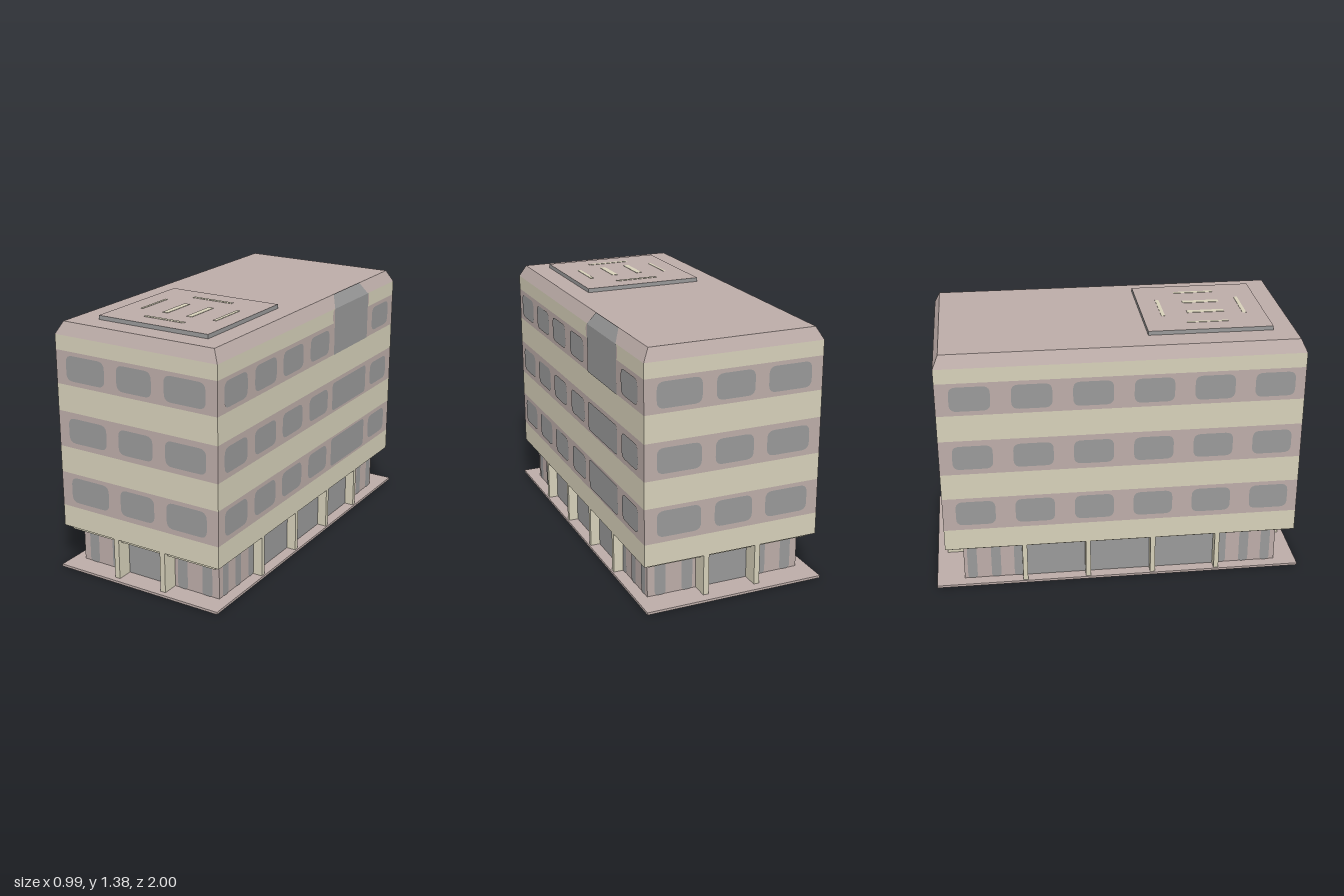
import * as THREE from 'three';

const mat = (name, color) => {
  const m = new THREE.MeshStandardMaterial({ color });
  m.name = name;
  return m;
};

export function createModel() {
  const mauve = mat('mauve', 0xbcaca8);
  const cream = mat('cream', 0xd6d0b9);
  const grey = mat('grey', 0x999999);
  const root = new THREE.Group();
  root.name = 'officeBuilding';

  // Outline of the upper storeys
  const X = 0.485, ZF = 0.97, ZB = -0.945, EPS = 0.003;

  const add = (name, geo, material) => {
    const m = new THREE.Mesh(geo, material);
    m.name = name;
    root.add(m);
    return m;
  };
  // Box given by its limits on each axis
  const box = (name, material, x0, x1, y0, y1, z0, z1) => {
    const m = add(name, new THREE.BoxGeometry(x1 - x0, y1 - y0, z1 - z0), material);
    m.position.set((x0 + x1) / 2, (y0 + y1) / 2, (z0 + z1) / 2);
    return m;
  };
  const roundedRect = (w, h, r) => {
    const s = new THREE.Shape(), a = w / 2, b = h / 2;
    s.moveTo(-a + r, -b);
    s.lineTo(a - r, -b); s.quadraticCurveTo(a, -b, a, -b + r);
    s.lineTo(a, b - r); s.quadraticCurveTo(a, b, a - r, b);
    s.lineTo(-a + r, b); s.quadraticCurveTo(-a, b, -a, b - r);
    s.lineTo(-a, -b + r); s.quadraticCurveTo(-a, -b, -a + r, -b);
    return new THREE.ShapeGeometry(s, 5);
  };
  // Thin plate on a wall; u is x on the front and back, z on the sides
  const plate = (name, material, side, wall, u0, u1, y0, y1, r = 0.04) => {
    const m = add(name, roundedRect(Math.abs(u1 - u0), y1 - y0, r), material);
    const u = (u0 + u1) / 2, y = (y0 + y1) / 2;
    if (side === 'front') m.position.set(u, y, wall + EPS);
    if (side === 'back') { m.position.set(u, y, wall - EPS); m.rotation.y = Math.PI; }
    if (side === 'left') { m.position.set(wall + EPS, y, u); m.rotation.y = Math.PI / 2; }
    if (side === 'right') { m.position.set(wall - EPS, y, u); m.rotation.y = -Math.PI / 2; }
    return m;
  };

  // Ground slab with a grey underside
  const slab = box('groundSlab', mauve, -0.493, 0.493, 0, 0.013, -1, 1);
  slab.material = [mauve, mauve, mauve, grey, mauve, mauve];

  // Alternating storey bands
  const levels = [0.235, 0.355, 0.545, 0.69, 0.885, 1.03, 1.21, 1.29];
  for (let i = 0; i < levels.length - 1; i++) {
    box(i % 2 ? 'windowBand' : 'plainBand', i % 2 ? mauve : cream, -X, X, levels[i], levels[i + 1], ZB, ZF);
  }

  // Roof with sloped edges
  const roof = box('roof', mauve, -X, X, 1.29, 1.355, ZB, ZF);
  const p = roof.geometry.attributes.position;
  for (let i = 0; i < p.count; i++) {
    if (p.getY(i) > 0) {
      p.setX(i, p.getX(i) - Math.sign(p.getX(i)) * 0.035);
      p.setZ(i, p.getZ(i) - Math.sign(p.getZ(i)) * 0.03);
    }
  }
  roof.geometry.computeVertexNormals();

  // Windows of the three upper floors
  const floors = [[0.385, 0.525], [0.72, 0.855], [1.055, 1.19]];
  floors.forEach(([y0, y1], f) => {
    for (const [a, b] of [[-0.42, -0.18], [-0.105, 0.105], [0.18, 0.42]]) {
      plate('frontWindow', grey, 'front', ZF, a, b, y0, y1);
      plate('backWindow', grey, 'back', ZB, a, b, y0, y1);
    }
    for (const z of [0.81, 0.53, 0.252, -0.035, -0.77]) {
      plate('leftWindow', grey, 'left', X, z - 0.105, z + 0.105, y0, y1);
    }
    if (f < 2) plate('wideWindow', grey, 'left', X, -0.605, -0.195, y0 - 0.015, y1 + 0.01, 0.025);
    for (let i = 0; i < 6; i++) {
      const z = 0.81 - i * 0.316;
      plate('rightWindow', grey, 'right', -X, z - 0.105, z + 0.105, y0, y1);
    }
  });

  // Tall glass panel that folds over the roof edge
  plate('panelSurround', mauve, 'left', X - 0.001, -0.62, -0.18, 1.21, 1.29, 0.03);
  plate('tallGlass', grey, 'left', X, -0.605, -0.2, 1.03, 1.29, 0.001);
  const fold = new THREE.BufferGeometry();
  fold.setAttribute('position', new THREE.Float32BufferAttribute([
    X + EPS, 1.29, -0.2, X + EPS, 1.29, -0.6,
    X - 0.032, 1.357, -0.555, X - 0.032, 1.357, -0.245], 3));
  fold.setIndex([0, 1, 2, 0, 2, 3]);
  fold.computeVertexNormals();
  add('slopedGlass', fold, grey);

  // Recessed ground floor and the ledge above it
  const GX = 0.43, GF = 0.88, GB = -0.85, Y0 = 0.013, Y1 = 0.212;
  box('groundFloor', mauve, -GX, GX, Y0, Y1, GB, GF);
  box('ledge', cream, -0.45, 0.45, Y1, 0.235, -0.91, 0.945);

  // Ground floor glazing: large panes and narrow strips
  const glass = (side, wall, list) => list.forEach(([a, b, r]) =>
    plate('groundGlass', grey, side, wall, a, b, Y0, Y1 - 0.002, r));
  const endPanes = [[-0.13, 0.13, 0.001]];
  for (const x of [-0.36, -0.21, 0.21, 0.36]) endPanes.push([x - 0.03, x + 0.03, 0.02]);
  glass('front', GF, endPanes);
  glass('back', GB, endPanes);
  const sidePanes = [[-0.505, 0.53, 0.001]];
  for (const z of [0.825, 0.703, 0.575, -0.55, -0.675, -0.805]) sidePanes.push([z - 0.026, z + 0.026, 0.02]);
  glass('left', GX, sidePanes);
  glass('right', -GX, sidePanes);

  // Fin columns around the ground floor
  for (const x of [-0.145, 0.145]) {
    box('frontColumn', cream, x - 0.015, x + 0.015, Y0, 0.235, GF, ZF);
    box('backColumn', cream, x - 0.015, x + 0.015, Y0, 0.235, ZB, GB);
  }
  for (const z of [0.54, 0.183, -0.173, -0.518]) {
    box('leftColumn', cream, GX, X, Y0, 0.235, z - 0.013, z + 0.013);
    box('rightColumn', cream, -X, -GX, Y0, 0.235, z - 0.013, z + 0.013);
  }

  // Landing pad: mauve top on grey sides, with painted bars
  const pad = box('landingPad', grey, -0.315, 0.34, 1.355, 1.377, 0.165, 0.825);
  pad.material = [grey, grey, mauve, grey, grey, grey];
  const marks = [
    [-0.11, 0.13, 0.265, 0.285], [-0.11, 0.13, 0.705, 0.725],
    [-0.217, -0.203, 0.385, 0.605], [0.225, 0.245, 0.385, 0.605],
    [-0.077, -0.045, 0.41, 0.61], [0.07, 0.102, 0.41, 0.61]];
  for (const [x0, x1, z0, z1] of marks) box('padMarking', cream, x0, x1, 1.377, 1.379, z0, z1);

  return root;
}
